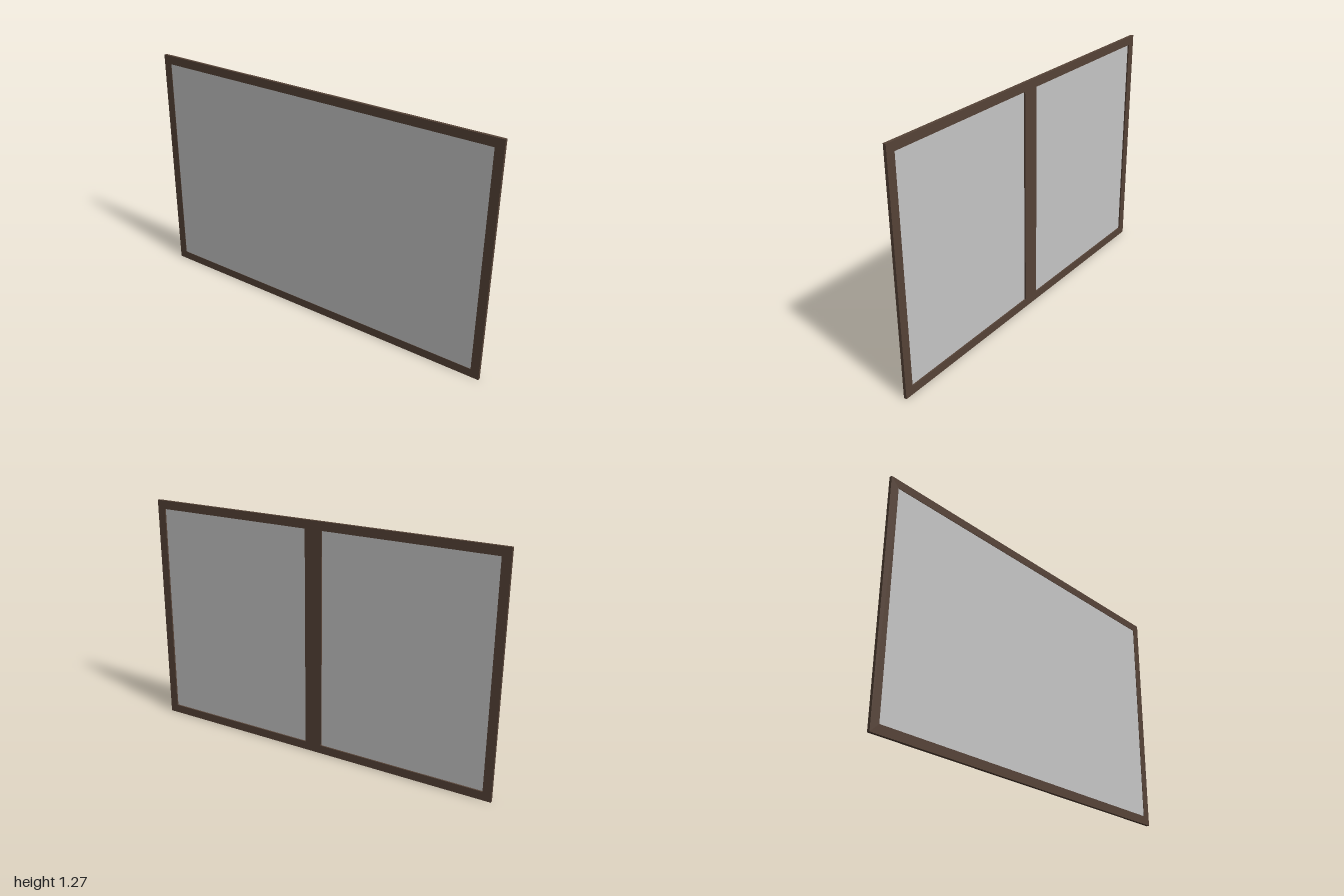
import * as THREE from 'three';

const W = 2, H = 1.27, D = 0.016, RAIL = 0.046;

export function createModel() {
  const group = new THREE.Group();
  const wood = new THREE.MeshStandardMaterial({ color: 0x564337 });
  wood.name = 'dark brown wood';
  const grey = new THREE.MeshStandardMaterial({ color: 0xc6c6c6 });
  grey.name = 'light grey panel';

  // Rectangular border with a single opening
  const outline = new THREE.Shape([
    new THREE.Vector2(-W / 2, 0), new THREE.Vector2(W / 2, 0),
    new THREE.Vector2(W / 2, H), new THREE.Vector2(-W / 2, H),
  ]);
  const x = W / 2 - RAIL;
  outline.holes.push(new THREE.Path([
    new THREE.Vector2(-x, RAIL), new THREE.Vector2(-x, H - RAIL),
    new THREE.Vector2(x, H - RAIL), new THREE.Vector2(x, RAIL),
  ]));
  const frameGeometry = new THREE.ExtrudeGeometry(outline, { depth: D, bevelEnabled: false });
  frameGeometry.translate(0, 0, -D / 2);
  const frame = new THREE.Mesh(frameGeometry, wood);
  frame.name = 'frame';

  // Thin sheet held inside the border
  const panel = new THREE.Mesh(new THREE.BoxGeometry(2 * x, H - 2 * RAIL, 0.006), grey);
  panel.name = 'panel';
  panel.position.set(0, H / 2, 0.003);

  // Upright brace behind the sheet, flush with the back of the border
  const brace = new THREE.Mesh(new THREE.BoxGeometry(0.096, H - 2 * RAIL, D / 2), wood);
  brace.name = 'backBrace';
  brace.position.set(0.008, H / 2, -D / 4);

  group.add(frame, panel, brace);
  return group;
}
